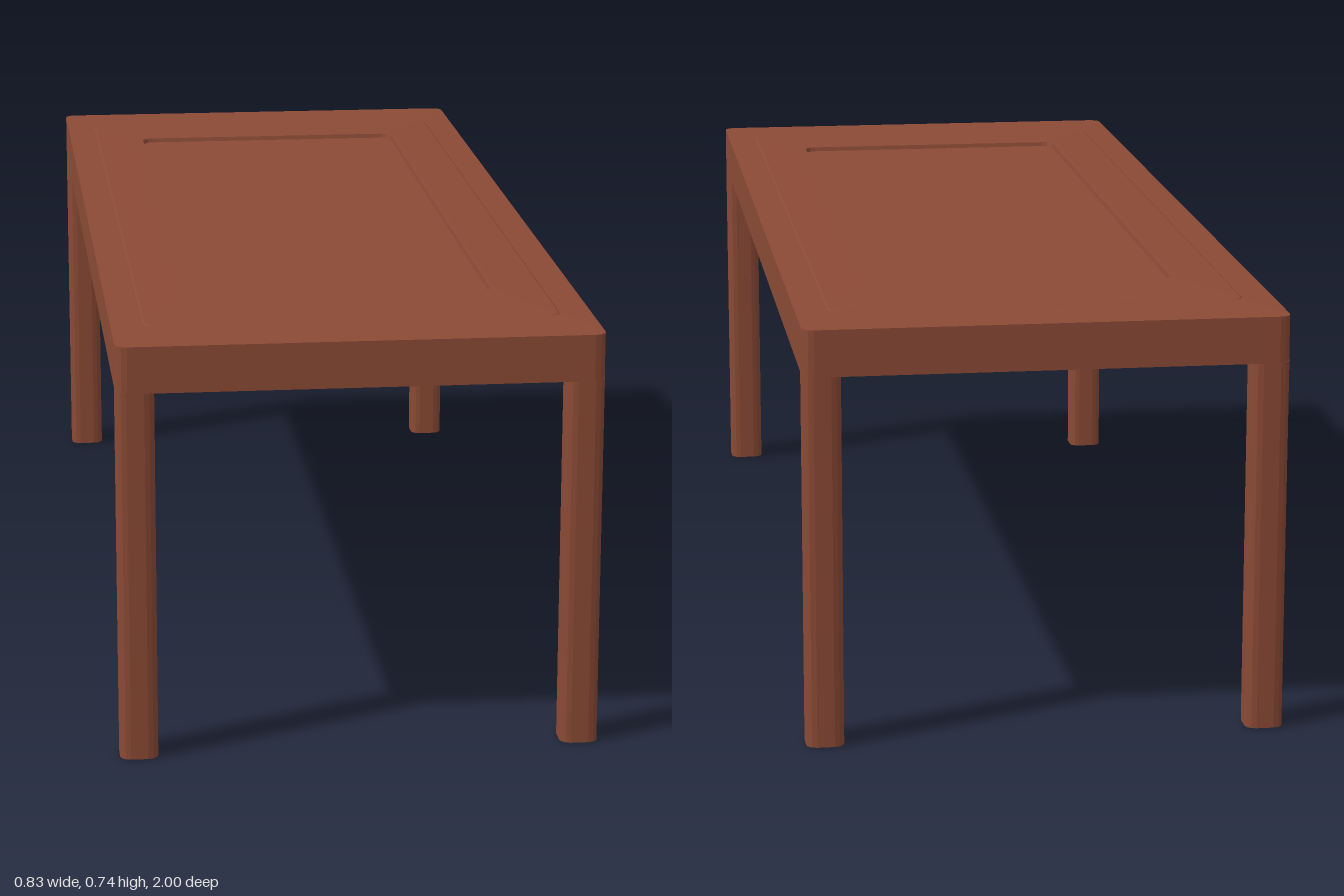
import * as THREE from 'three';

const CORNER_STEPS = 3;

// One horizontal loop: a rectangle with rounded corners.
function loop([hx, hz, y, r]) {
  const pts = [];
  for (let c = 0; c < 4; c++) {
    const sx = c === 0 || c === 3 ? 1 : -1;
    const sz = c < 2 ? 1 : -1;
    for (let i = 0; i <= CORNER_STEPS; i++) {
      const a = (c + i / CORNER_STEPS) * Math.PI / 2;
      pts.push([sx * (hx - r) + r * Math.cos(a), y, sz * (hz - r) + r * Math.sin(a)]);
    }
  }
  return pts;
}

// Skin through loops [halfX, halfZ, y, radius], closed at both ends, with hard facets.
function loft(sections) {
  const first = sections[0], last = sections[sections.length - 1];
  const loops = [[0, 0, first[2], 0], ...sections, [0, 0, last[2], 0]].map(loop);
  const pos = [];
  for (let j = 0; j < loops.length - 1; j++) {
    const lower = loops[j], upper = loops[j + 1], n = lower.length;
    for (let i = 0; i < n; i++) {
      const k = (i + 1) % n;
      if (j > 0) pos.push(...lower[i], ...upper[i], ...lower[k]);
      if (j < loops.length - 2) pos.push(...lower[k], ...upper[i], ...upper[k]);
    }
  }
  const g = new THREE.BufferGeometry();
  g.setAttribute('position', new THREE.Float32BufferAttribute(pos, 3));
  g.computeVertexNormals();
  return g;
}

export function createModel() {
  const group = new THREE.Group();
  group.name = 'table';
  const wood = new THREE.MeshStandardMaterial({ color: 0x8b4a35 });

  const W = 0.416, L = 1, under = 0.652, R = 0.02, leg = 0.033;

  // Thick top: shallow underside recess, raised border and sunken centre panel
  const top = new THREE.Mesh(loft([
    [0.34, 0.86, under + 0.003, 0.015],
    [0.345, 0.865, under, 0.015],
    [W, L, under, R],
    [W, L, 0.733, R],
    [0.36, 0.87, 0.734, 0.02],
    [0.357, 0.867, 0.736, 0.02],
    [0.275, 0.71, 0.739, 0.02],
    [0.265, 0.70, 0.739, 0.02],
    [0.263, 0.698, 0.731, 0.02],
  ]), wood);
  top.name = 'tableTop';
  group.add(top);

  // Legs flush with the outer corners
  const legGeometry = loft([[leg, leg, 0, 0.018], [leg, leg, under + 0.002, 0.018]]);
  for (const [sx, side] of [[1, 'Left'], [-1, 'Right']]) {
    for (const [sz, end] of [[1, 'front'], [-1, 'back']]) {
      const mesh = new THREE.Mesh(legGeometry, wood);
      mesh.name = `${end}${side}Leg`;
      mesh.position.set(sx * (W - leg), 0, sz * (L - leg));
      group.add(mesh);
    }
  }
  return group;
}
